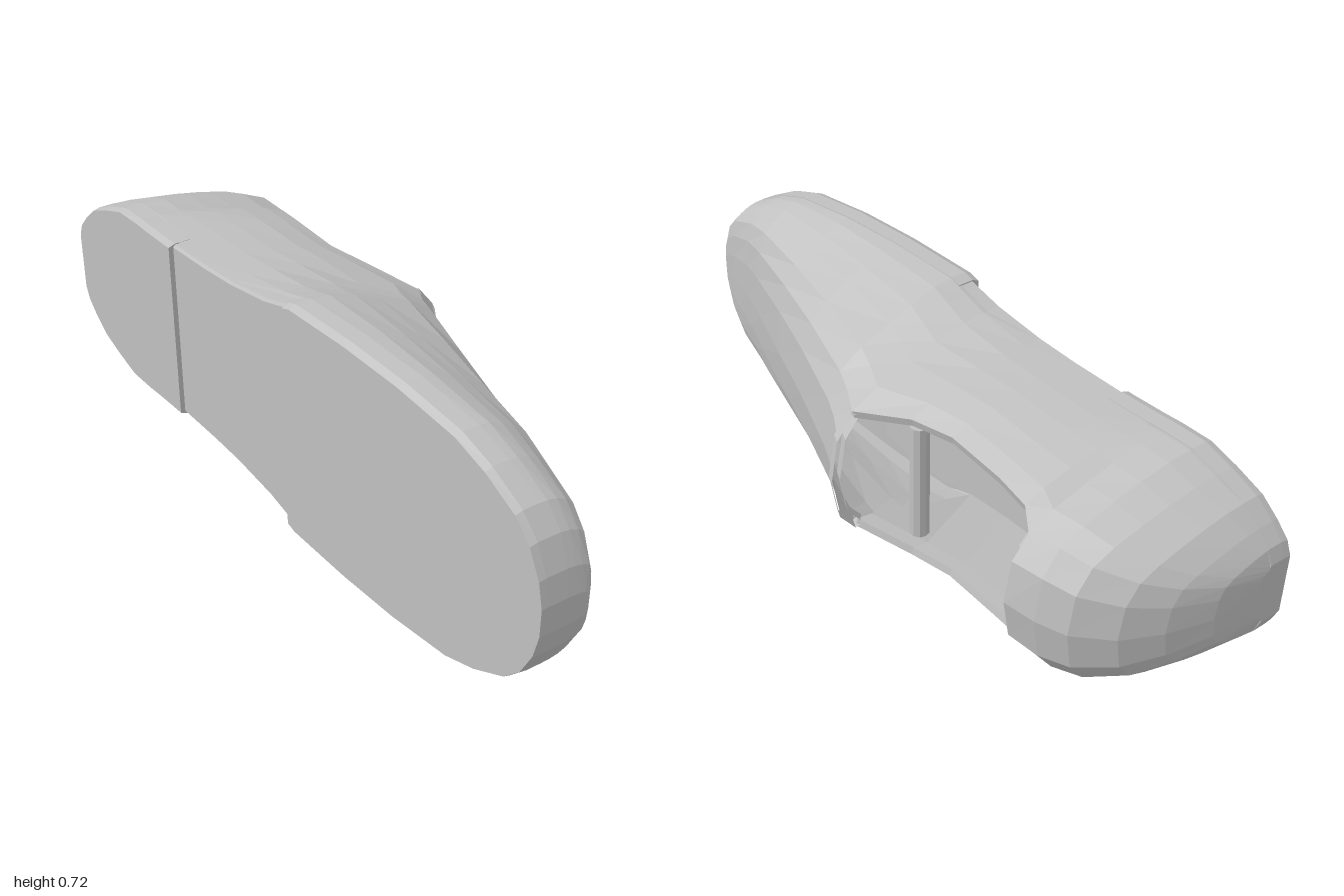
import * as THREE from 'three';

const CY = 0.365; // centre line of the shoe, which lies on its side (sole at -x)
// stations from heel to toe: z, top x, half width, profile blend
const STATIONS = [
  [-1, -0.22, 0.09, 1.4], [-0.985, -0.1, 0.13, 1.4], [-0.95, 0.02, 0.17, 1.4], [-0.9, 0.12, 0.215, 1.4],
  [-0.82, 0.2, 0.25, 1.5], [-0.74, 0.23, 0.278, 1.4], [-0.65, 0.245, 0.28, 1.2], [-0.6, 0.21, 0.278, 1.8],
  [-0.5, 0.2, 0.277, 2], [-0.32, 0.195, 0.283, 2], [-0.2, 0.23, 0.292, 1.8], [-0.05, 0.31, 0.315, 1],
  [0.02, 0.27, 0.335, 1], [0.08, 0.245, 0.355, 1], [0.3, 0.17, 0.36, 0.9], [0.5, 0.11, 0.353, 0.8],
  [0.7, 0.05, 0.33, 0.5], [0.8, 0.02, 0.295, 0.3], [0.9, 0.005, 0.24, 0.1], [0.95, -0.005, 0.185, 0],
  [0.985, -0.015, 0.11, 0], [1, -0.03, 0.04, 0],
];
// half profiles (width fraction, height fraction): toe, instep, quarter
const PROFILES = [
  [[1, 0], [1, 0.2], [1, 0.4], [0.98, 0.58], [0.93, 0.76], [0.85, 0.9], [0.65, 0.97], [0.35, 1], [0, 1]],
  [[0.98, 0], [1, 0.08], [0.98, 0.2], [0.91, 0.37], [0.83, 0.52], [0.73, 0.72], [0.6, 0.87], [0.4, 0.96], [0, 1]],
  [[1, 0], [1, 0.1], [1, 0.25], [0.98, 0.42], [0.94, 0.6], [0.87, 0.76], [0.8, 0.87], [0.5, 0.97], [0, 1]],
];
const RIM = 6; // profile point that forms the edge of the foot opening
const OPEN = [-0.65, -0.05];
const soleX = (z) => -0.2425 + 0.0775 * z;
const lerp = THREE.MathUtils.lerp;

function at(z) {
  let i = 0;
  while (i < STATIONS.length - 2 && STATIONS[i + 1][0] < z) i++;
  const a = STATIONS[i], b = STATIONS[i + 1], t = (z - a[0]) / (b[0] - a[0]);
  return a.map((v, k) => lerp(v, b[k], t));
}

function halfProfile(z) {
  const [, top, w, k] = at(z), i = Math.min(1, Math.floor(k)), base = soleX(z) + 0.03;
  return PROFILES[i].map((p, j) => {
    const q = PROFILES[i + 1][j];
    return [lerp(base, top, lerp(p[1], q[1], k - i)), w * lerp(p[0], q[0], k - i)];
  });
}

// full section from the +y side over the top to the -y side, as [x, y offset]
const mirrored = (half) => [...half, ...half.slice(0, -1).reverse().map(([x, y]) => [x, -y])];

function loft(zs, section, { closed = false, caps = false, skip = () => false } = {}) {
  const pos = [];
  const rows = zs.map((z) => section(z).map(([x, y]) => [x, CY + y, z]));
  const tri = (...p) => p.forEach((v) => pos.push(...v));
  const n = rows[0].length;
  for (let i = 0; i < rows.length - 1; i++) {
    for (let j = 0; j < (closed ? n : n - 1); j++) {
      if (skip(i, j)) continue;
      const k = (j + 1) % n, a = rows[i][j], b = rows[i][k], c = rows[i + 1][k], d = rows[i + 1][j];
      tri(a, d, c);
      tri(a, c, b);
    }
  }
  if (caps) {
    const first = rows[0], last = rows[rows.length - 1];
    for (let j = 1; j < n - 1; j++) {
      tri(first[0], first[j], first[j + 1]);
      tri(last[0], last[j + 1], last[j]);
    }
  }
  const g = new THREE.BufferGeometry();
  g.setAttribute('position', new THREE.Float32BufferAttribute(pos, 3));
  g.computeVertexNormals();
  return g;
}

export function createModel() {
  const group = new THREE.Group();
  const grey = new THREE.MeshStandardMaterial({ color: 0xc0c0c0, flatShading: true, side: THREE.DoubleSide });
  grey.name = 'light grey';
  const add = (name, geometry, x = 0, y = 0, z = 0) => {
    const m = new THREE.Mesh(geometry, grey);
    m.name = name;
    m.position.set(x, y, z);
    group.add(m);
    return m;
  };
  const allZ = STATIONS.map((s) => s[0]);
  const between = (a, b) => [a, ...allZ.filter((z) => z > a && z < b), b];

  // upper with the foot opening left out
  add('upper', loft(allZ, (z) => mirrored(halfProfile(z)), {
    caps: true,
    skip: (i, j) => allZ[i] >= OPEN[0] && allZ[i + 1] <= OPEN[1] && j >= RIM && j < 16 - RIM,
  }));

  // sole in three pieces, with a recessed arch
  const sole = (name, a, b, lift, scale) => add(name, loft(between(a, b), (z) => {
    const w = at(z)[2] * scale, x = soleX(z);
    return mirrored([[x + lift, w * 0.975], [x + 0.02, w * 1.002], [x + 0.065, w * 1.004], [x + 0.068, 0]]);
  }, { closed: true, caps: true }));
  sole('heelSole', -1, -0.48, 0, 1);
  sole('archSole', -0.48, 0.05, 0.014, 0.99);
  sole('frontSole', 0.05, 1, 0, 1);

  // lining: turned edge and inner wall on both sides of the opening
  for (const s of [1, -1]) {
    add('lining', loft(between(...OPEN), (z) => {
      const h = halfProfile(z), [x, y] = h[RIM], w = at(z)[2];
      return [[x, s * y], [x - 0.005, s * (y - 0.022)], [x - 0.05, s * (y - 0.015)], [-0.15, s * w * 0.9]];
    }));
  }
  add('insole', loft(between(-0.66, 0.6), (z) => [[-0.15, at(z)[2] * 0.9], [-0.15, -at(z)[2] * 0.9]]));

  // wall closing the heel cavity
  add('heelWall', loft([-0.668, -0.66], () => mirrored(halfProfile(-0.66).map(([x, y]) => [x - 0.008, y * 0.97])),
    { closed: true, caps: true }));

  // thick lip at the end of the tongue
  add('tongueLip', loft([-0.06, -0.03], (z) => {
    const outer = halfProfile(-0.05).slice(RIM).map(([x, y]) => [x + (z < -0.05 ? 0.008 : -0.004), y * 0.98]);
    const o = mirrored(outer);
    return [...o, ...o.slice().reverse().map(([x, y]) => [x - 0.025, y * 0.96])];
  }, { closed: true }));

  // round bar across the opening
  add('crossBar', new THREE.CylinderGeometry(0.027, 0.027, 0.35, 10), 0.13, CY, -0.18);

  // round fitting on the heel wall
  const fitting = (name, r, depth, sides, z) =>
    add(name, new THREE.CylinderGeometry(r, r, depth, sides), 0.03, CY, z).rotation.x = Math.PI / 2;
  fitting('fittingBase', 0.12, 0.04, 12, -0.64);
  add('fittingRing', new THREE.TorusGeometry(0.11, 0.026, 6, 12), 0.03, CY, -0.595);
  fitting('fittingKnob', 0.05, 0.06, 6, -0.6);
  return group;
}
